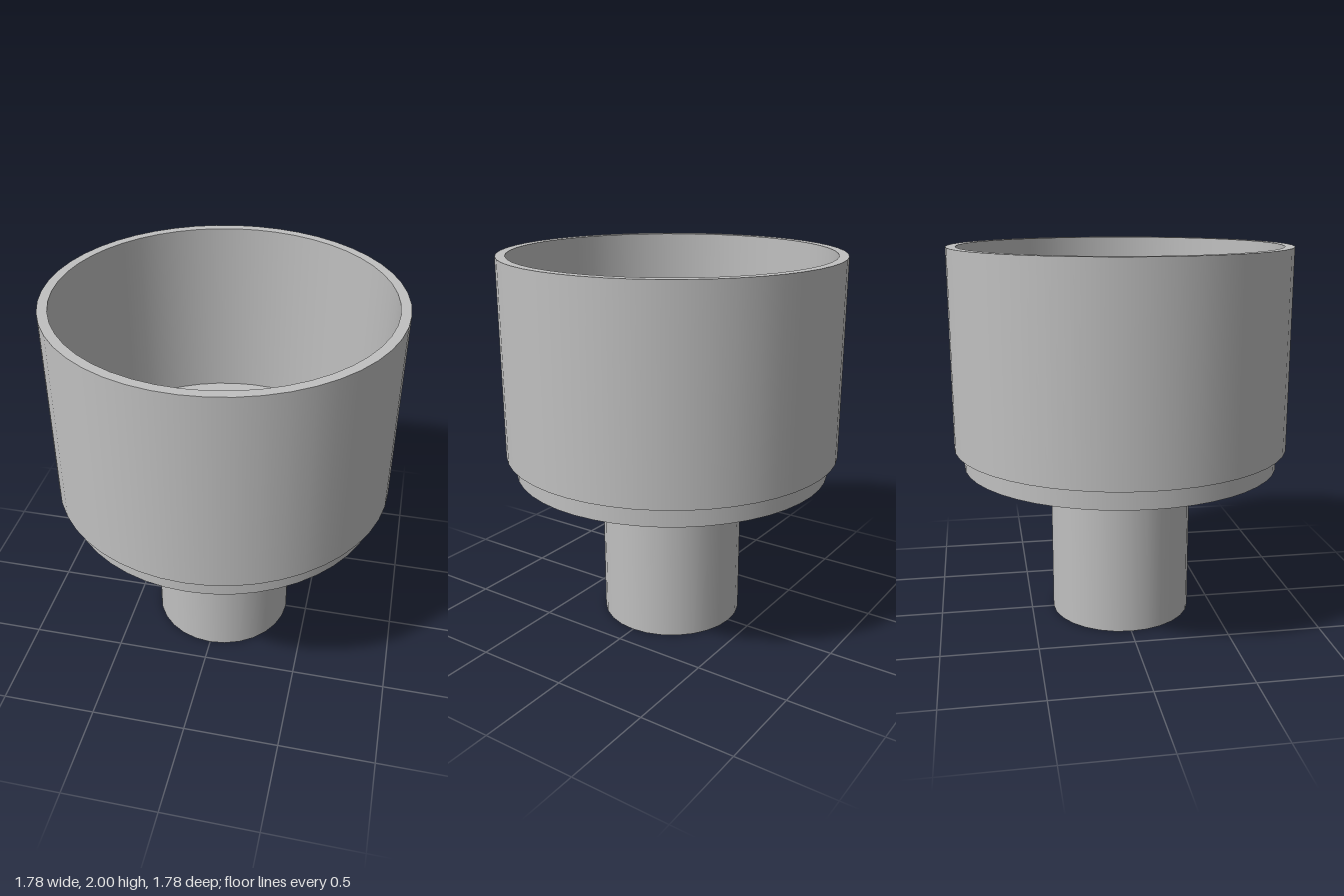
import * as THREE from 'three';
import { mergeGeometries } from 'three/addons/utils/BufferGeometryUtils.js';

// Hollow cylinder: one lathe per profile edge keeps the rims sharp and the walls smooth.
function tube(name, inner, outer, bottom, top, segments, material) {
  const profile = [[outer, bottom], [outer, top], [inner, top], [inner, bottom]]
    .map(([r, y]) => new THREE.Vector2(r, y));
  const bands = profile.map((p, i) =>
    new THREE.LatheGeometry([p, profile[(i + 1) % profile.length]], segments));
  const mesh = new THREE.Mesh(mergeGeometries(bands), material);
  mesh.name = name;
  return mesh;
}

export function createModel() {
  const grey = new THREE.MeshStandardMaterial({ color: 0xc0c0c0 });
  grey.name = 'plain grey';

  const model = new THREE.Group();
  model.name = 'reducerCup';
  model.add(
    // Wide open cup wall
    tube('cupWall', 0.842, 0.892, 0.95, 2, 48, grey),
    // Floor plate set into the lower end of the cup
    tube('floorPlate', 0.38, 0.842, 0.845, 1.0, 48, grey),
    // Hollow stem running through the plate
    tube('stem', 0.264, 0.38, 0, 1.0, 28, grey),
  );
  return model;
}
